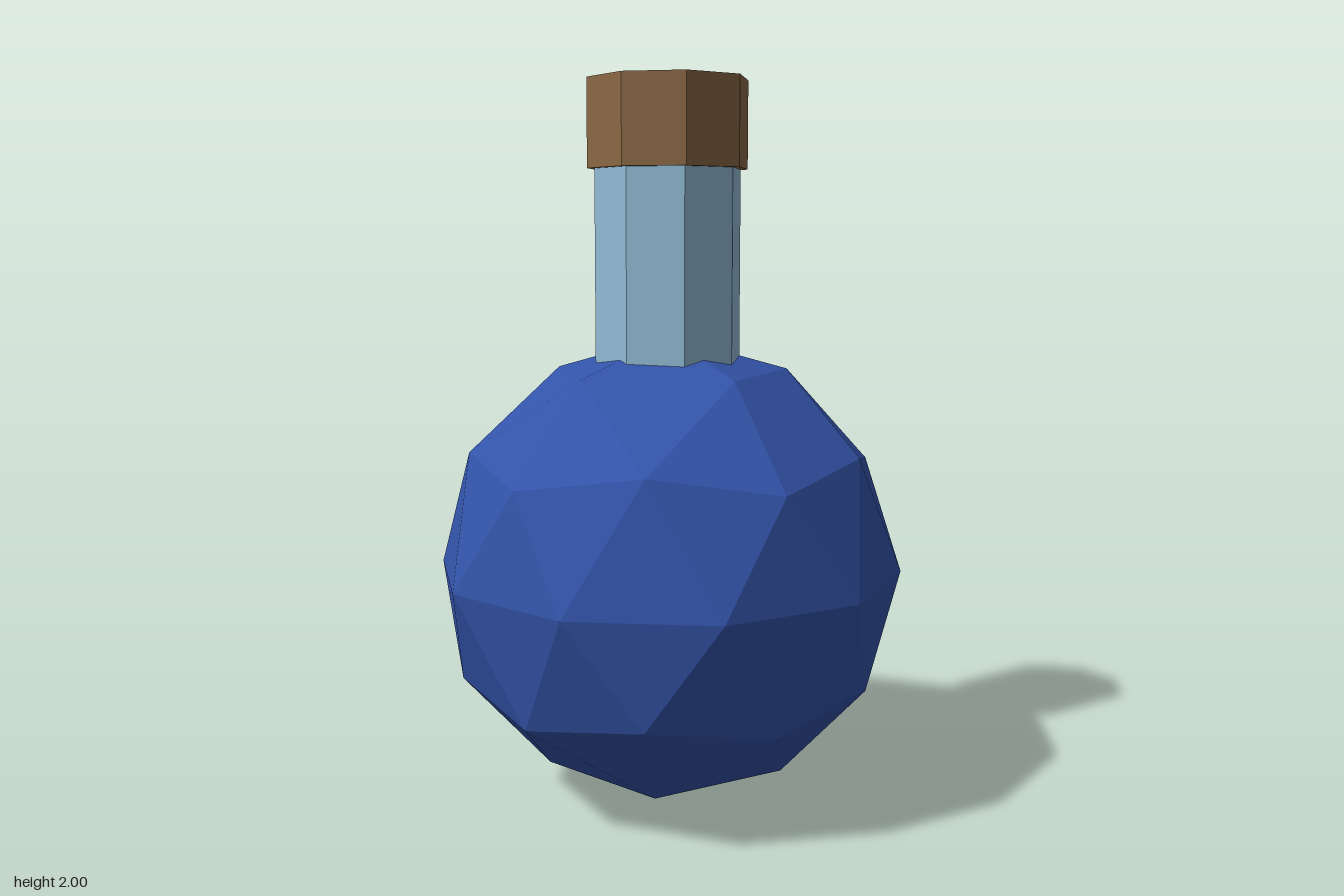
import * as THREE from 'three';

function material(name, color) {
  const m = new THREE.MeshStandardMaterial({ color, flatShading: true });
  m.name = name;
  return m;
}

export function createModel() {
  const model = new THREE.Group();
  model.name = 'flask';

  const blue = material('blue liquid', 0x3354aa);
  const glass = material('pale glass', 0x91bbd5);
  const cork = material('brown cork', 0x8a6845);

  const add = (name, geometry, mat, y) => {
    const mesh = new THREE.Mesh(geometry, mat);
    mesh.name = name;
    mesh.position.y = y;
    model.add(mesh);
  };

  // Faceted round body, turned so that one corner points straight up
  const golden = (1 + Math.sqrt(5)) / 2;
  const body = new THREE.IcosahedronGeometry(0.652, 1);
  body.rotateZ(-Math.atan(1 / golden));
  add('body', body, blue, 0.653);

  // Eight-sided neck, sunk into the body
  add('neck', new THREE.CylinderGeometry(0.204, 0.204, 0.76, 8), glass, 1.4);

  // Eight-sided stopper, a little wider than the neck
  add('stopper', new THREE.CylinderGeometry(0.224, 0.224, 0.24, 8), cork, 1.88);

  return model;
}
